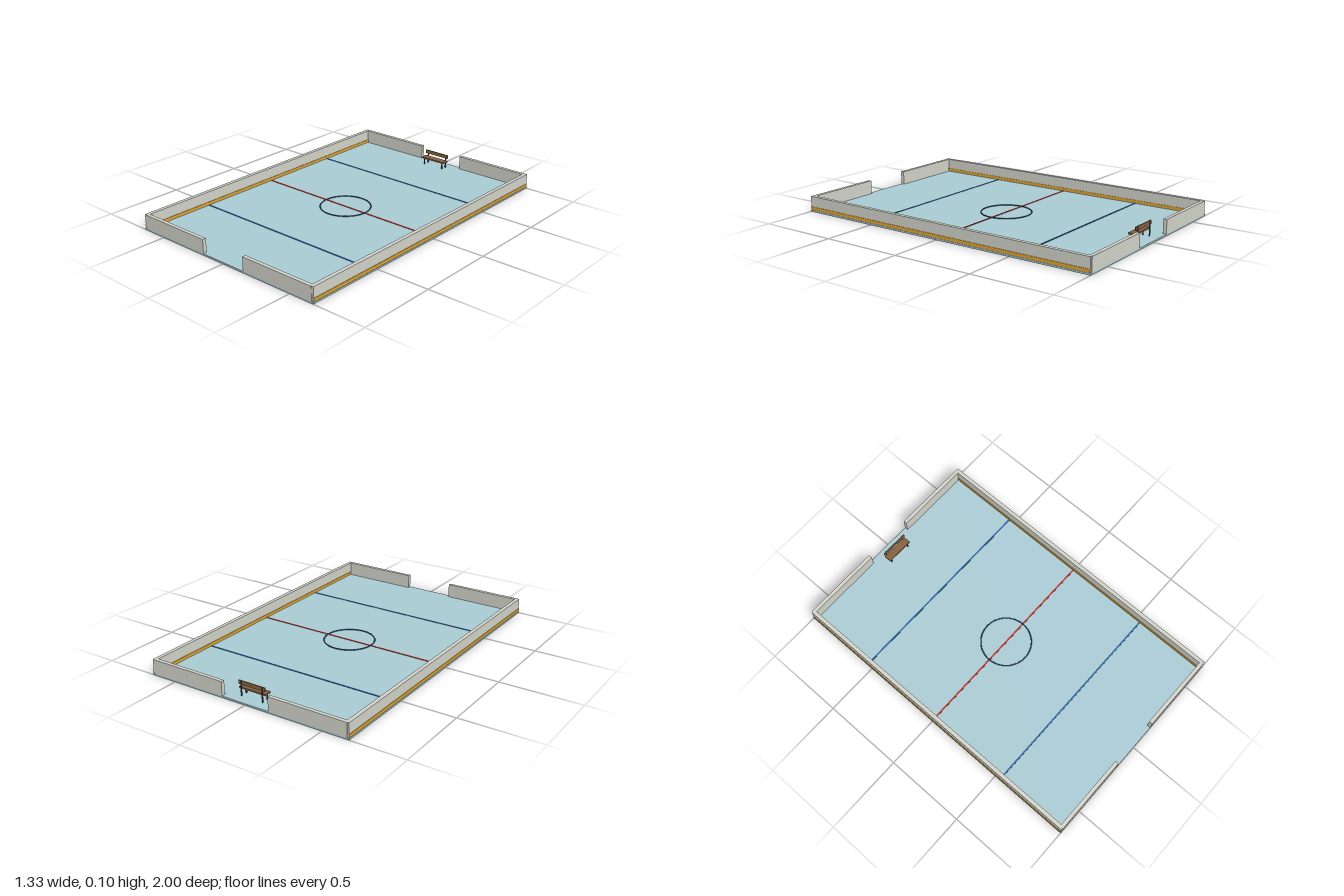
import * as THREE from 'three';

const mat = (name, color) => {
  const m = new THREE.MeshStandardMaterial({ color });
  m.name = name;
  return m;
};

export function createModel() {
  const ice = mat('pale ice', 0xa9cad3);
  const board = mat('off-white board', 0xd0d1c8);
  const yellow = mat('yellow kick plate', 0xdda32e);
  const red = mat('red line', 0xb8322a);
  const blue = mat('blue line', 0x2a649c);
  const navy = mat('circle blue', 0x24527c);
  const wood = mat('bench wood', 0x85603f);
  const metal = mat('dark metal', 0x3a4046);

  const root = new THREE.Group();
  root.name = 'iceRink';

  // Box given by its lower and upper limits on each axis
  const box = (name, material, [x0, x1], [y0, y1], [z0, z1], parent = root) => {
    const mesh = new THREE.Mesh(new THREE.BoxGeometry(x1 - x0, y1 - y0, z1 - z0), material);
    mesh.position.set((x0 + x1) / 2, (y0 + y1) / 2, (z0 + z1) / 2);
    mesh.name = name;
    parent.add(mesh);
    return mesh;
  };
  const mirror = (s, a, b) => (s > 0 ? [a, b] : [-b, -a]);

  // Ice slab
  box('iceSlab', ice, [-0.667, 0.667], [0, 0.01], [-1, 1]);

  // Side boards with kick plates, and end boards leaving a gate in the middle
  for (const sx of [-1, 1]) {
    box('sideBoard', board, mirror(sx, 0.64, 0.664), [0.01, 0.097], [-0.997, 0.997]);
    box('kickPlate', yellow, mirror(sx, 0.637, 0.667), [0.013, 0.032], [-0.997, 0.997]);
    for (const sz of [-1, 1]) {
      box('endBoard', board, mirror(sx, 0.157, 0.653), [0.01, 0.0965], mirror(sz, 0.977, 1));
    }
  }

  // Painted lines
  box('centreLine', red, [-0.64, 0.64], [0.01, 0.0125], [-0.005, 0.005]);
  for (const z of [-0.535, 0.535]) {
    box('zoneLine', blue, [-0.64, 0.64], [0.01, 0.0125], [z - 0.005, z + 0.005]);
  }

  // Centre circle
  const circle = new THREE.Mesh(new THREE.TorusGeometry(0.155, 0.0035, 8, 64), navy);
  circle.rotation.x = -Math.PI / 2;
  circle.position.y = 0.013;
  circle.name = 'centreCircle';
  root.add(circle);

  // Bench
  const bench = new THREE.Group();
  bench.name = 'bench';
  root.add(bench);
  box('seat', wood, [-0.089, 0.089], [0.051, 0.061], [-0.935, -0.889], bench);
  box('backrest', wood, [-0.089, 0.089], [0.077, 0.1], [-0.938, -0.931], bench);
  for (const s of [-1, 1]) {
    box('frontLeg', metal, mirror(s, 0.069, 0.075), [0.01, 0.051], [-0.9, -0.894], bench);
    box('rearPost', metal, mirror(s, 0.069, 0.075), [0.01, 0.098], [-0.941, -0.935], bench);
  }

  return root;
}
